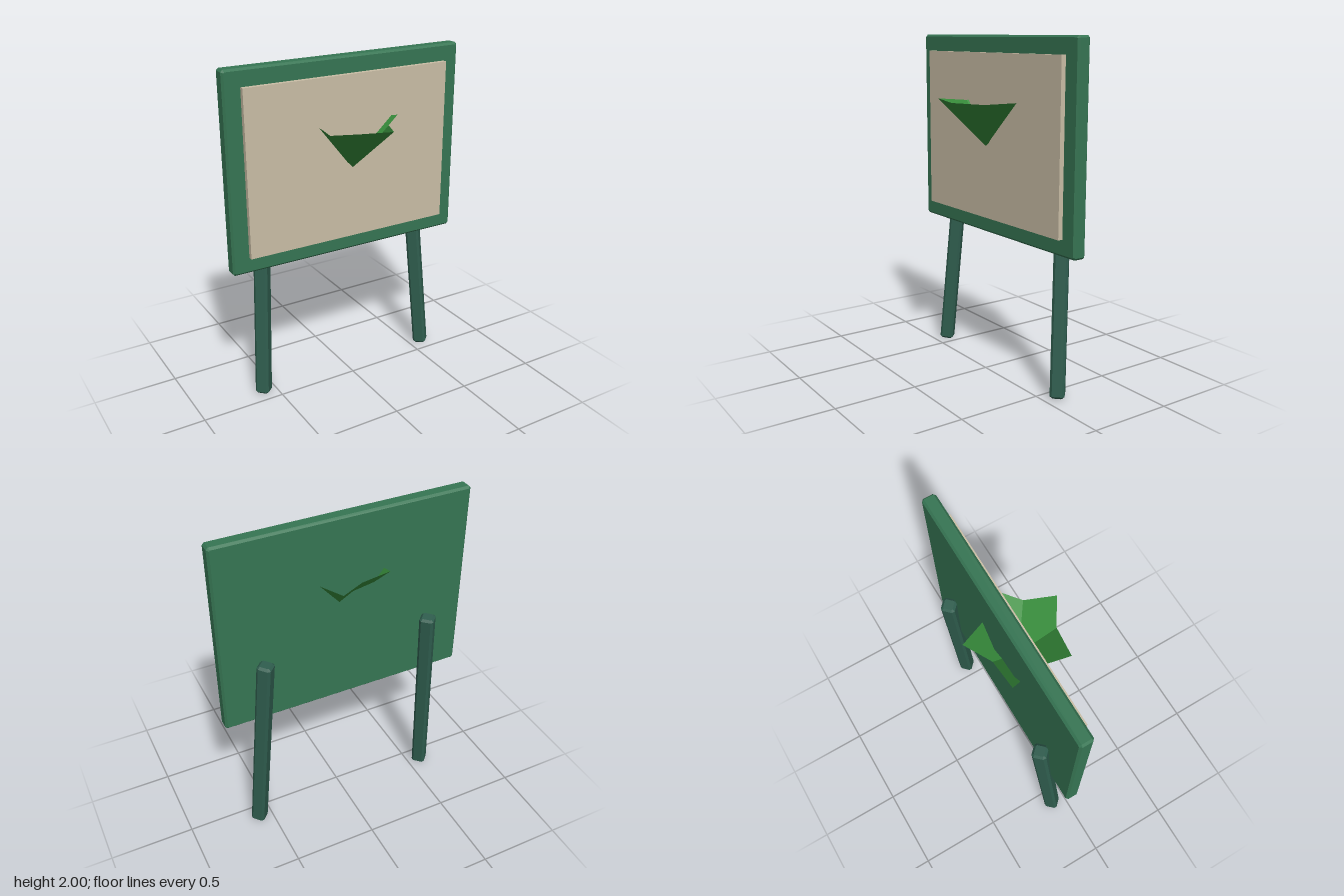
import * as THREE from 'three';

function mat(name, color) {
  const m = new THREE.MeshStandardMaterial({ color });
  m.name = name;
  return m;
}

// Box with small flat chamfers on every edge, centred on the origin, depth along z
function chamferBox(w, h, d, c) {
  const x = w / 2, y = h / 2;
  const pts = [[x, c - y], [x, y - c], [x - c, y], [c - x, y], [-x, y - c], [-x, c - y], [c - x, -y], [x - c, -y]];
  const shape = new THREE.Shape(pts.map(([a, b]) => new THREE.Vector2(a, b)));
  const geo = new THREE.ExtrudeGeometry(shape, {
    depth: d - 2 * c, bevelEnabled: true, bevelSegments: 1,
    bevelSize: c, bevelThickness: c, bevelOffset: -c,
  });
  return geo.translate(0, 0, c - d / 2);
}

// Open five-pointed cup: each leaf is two triangles sharing one shading normal
function leafCup(apexY, tipY, valleyY, tipR, valleyR, turn) {
  const pos = [], nor = [];
  const ring = (r, a, y) => new THREE.Vector3(r * Math.cos(a), y, r * Math.sin(a));
  const apex = new THREE.Vector3(0, apexY, 0);
  for (let i = 0; i < 5; i++) {
    const a = turn + i * Math.PI * 0.4;
    const tip = ring(tipR, a, tipY);
    const v1 = ring(valleyR, a + Math.PI / 5, valleyY);
    const v2 = ring(valleyR, a - Math.PI / 5, valleyY);
    const n = new THREE.Vector3(-0.67 * Math.cos(a), 0.74, -0.67 * Math.sin(a)).normalize();
    for (const p of [apex, v1, tip, apex, tip, v2]) {
      pos.push(p.x, p.y, p.z);
      nor.push(n.x, n.y, n.z);
    }
  }
  const geo = new THREE.BufferGeometry();
  geo.setAttribute('position', new THREE.Float32BufferAttribute(pos, 3));
  geo.setAttribute('normal', new THREE.Float32BufferAttribute(nor, 3));
  return geo;
}

export function createModel() {
  const group = new THREE.Group();
  group.name = 'signBoard';
  const boardGreen = mat('boardGreen', 0x367553);
  const panelBeige = mat('panelBeige', 0xcabea6);
  const legGreen = mat('legGreen', 0x2f5d4e);
  const leafGreen = mat('leafGreen', 0x388e3c);
  leafGreen.side = THREE.DoubleSide;

  const add = (name, geo, material) => {
    const mesh = new THREE.Mesh(geo, material);
    mesh.name = name;
    group.add(mesh);
    return mesh;
  };

  // Board and its raised panel
  add('board', chamferBox(1.494, 1.16, 0.08, 0.012), boardGreen).position.set(0, 1.42, -0.086);
  add('panel', new THREE.BoxGeometry(1.295, 0.965, 0.04), panelBeige).position.set(0, 1.419, -0.038);

  // Splayed legs, set cornerwise and leaning back
  for (const side of [1, -1]) {
    const foot = new THREE.Vector3(side * 0.582, 0.004, -0.088);
    const head = new THREE.Vector3(side * 0.504, 1.25, -0.169);
    const axis = head.clone().sub(foot);
    const geo = chamferBox(0.083, 0.083, axis.length(), 0.013).rotateX(-Math.PI / 2).rotateY(Math.PI / 4);
    const leg = add(side > 0 ? 'leftLeg' : 'rightLeg', geo, legGreen);
    leg.position.copy(foot).add(head).multiplyScalar(0.5);
    leg.quaternion.setFromUnitVectors(new THREE.Vector3(0, 1, 0), axis.normalize());
  }

  // Leaves spreading through the panel
  add('leaves', leafCup(1.37, 1.636, 1.622, 0.296, 0.2, 0.017), leafGreen);

  return group;
}
